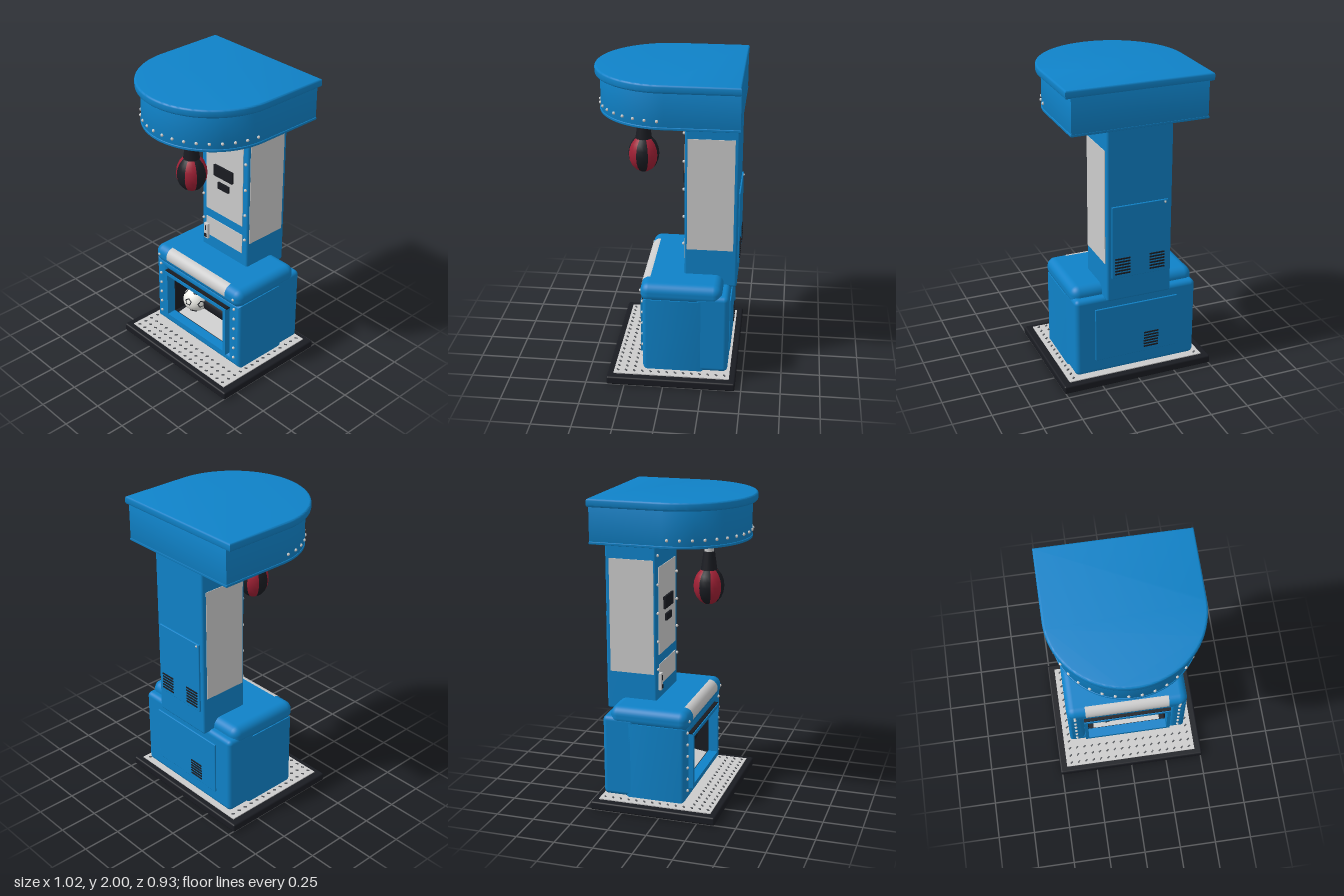
import * as THREE from 'three';
import { mergeGeometries, toCreasedNormals } from 'three/addons/utils/BufferGeometryUtils.js';
import { RoundedBoxGeometry } from 'three/addons/geometries/RoundedBoxGeometry.js';

const mat = (color, extra = {}) => new THREE.MeshStandardMaterial({ color, ...extra });

export function createModel() {
  const model = new THREE.Group();
  const blue = mat(0x0f82c8), black = mat(0x1a1c22), grey = mat(0xcccccc);
  const greyOpen = mat(0xcccccc, { side: THREE.DoubleSide });
  const red = mat(0xa02035), white = mat(0xf0f0ea), dark = mat(0x55585c);

  const add = (name, geometry, material, x = 0, y = 0, z = 0, parent = model) => {
    const mesh = new THREE.Mesh(geometry, material);
    mesh.name = name;
    mesh.position.set(x, y, z);
    parent.add(mesh);
    return mesh;
  };
  // Boxes given by their extents on each axis
  const box = (name, m, x0, x1, y0, y1, z0, z1, r = 0) => add(name,
    r ? new RoundedBoxGeometry(x1 - x0, y1 - y0, z1 - z0, 4, r) : new THREE.BoxGeometry(x1 - x0, y1 - y0, z1 - z0),
    m, (x0 + x1) / 2, (y0 + y1) / 2, (z0 + z1) / 2);
  // Many copies of one small geometry in a single mesh
  const scatter = (name, geometry, points, m) =>
    add(name, mergeGeometries(points.map(p => geometry.clone().translate(...p))), m);
  const rect = (x0, x1, y0, y1) => [[x0, y0], [x1, y0], [x1, y1], [x0, y1]].map(p => new THREE.Vector2(...p));
  // Rectangular ring extruded along z
  const frame = (name, m, outer, inner, z0, z1, bevel = 0) => {
    const shape = new THREE.Shape(rect(...outer));
    shape.holes.push(new THREE.Path(rect(...inner).reverse()));
    const g = new THREE.ExtrudeGeometry(shape, {
      depth: z1 - z0 - 2 * bevel, bevelEnabled: bevel > 0, bevelSize: bevel, bevelThickness: bevel,
      bevelOffset: -bevel, bevelSegments: 5 });
    return add(name, toCreasedNormals(g, 0.6), m, 0, 0, z0 + bevel);
  };

  // Floor mat and tread plate
  box('floorMat', black, -0.51, 0.51, 0, 0.055, -0.46, 0.365, 0.012);
  box('treadPlate', grey, -0.46, 0.46, 0.05, 0.061, -0.42, 0.325);
  const studs = [];
  for (let i = -8; i <= 8; i++) for (let j = 0; j < 14; j++) {
    const x = i * 0.053, z = 0.3 - j * 0.053;
    if (Math.abs(x) > 0.41 || z > 0.15) studs.push([x, 0.063, z]);
  }
  scatter('treadStuds', new THREE.BoxGeometry(0.02, 0.006, 0.009).rotateY(0.7), studs, dark);

  // Lower cabinet: hollow front, solid rear, cushion on top
  frame('cabinetFront', blue, [-0.41, 0.41, 0.075, 0.575], [-0.3, 0.3, 0.14, 0.51], -0.26, 0.142, 0.03);
  box('cabinetRear', blue, -0.41, 0.41, 0.075, 0.612, -0.405, -0.19, 0.03);
  box('cushion', blue, -0.412, 0.412, 0.55, 0.677, -0.36, 0.157, 0.055);
  const label = new THREE.CylinderGeometry(0.058, 0.058, 0.57, 12, 1, true, -0.5, 0.5 + Math.PI / 2);
  add('cushionLabel', label.rotateZ(Math.PI / 2), greyOpen, 0, 0.621, 0.102);
  frame('windowTrim', blue, [-0.3, 0.3, 0.14, 0.51], [-0.276, 0.276, 0.165, 0.487], 0.1, 0.165);
  frame('windowLining', black, [-0.3, 0.3, 0.14, 0.51], [-0.27, 0.27, 0.168, 0.482], -0.19, 0.1);
  box('windowTopStrip', black, -0.3, 0.3, 0.505, 0.517, 0.12, 0.158);
  box('windowBack', black, -0.28, 0.28, 0.15, 0.5, -0.2, -0.185);

  // Ball resting on a ramp in front of a roller
  const ramp = box('ballRamp', grey, -0.235, 0.235, 0.18, 0.19, -0.15, 0.1);
  ramp.rotation.x = 0.15;
  const roller = new THREE.CylinderGeometry(0.065, 0.065, 0.37, 24).rotateZ(Math.PI / 2);
  add('roller', roller, black, 0.085, 0.285, -0.04);
  const ball = new THREE.Group();
  ball.name = 'ball';
  ball.position.set(-0.145, 0.295, 0.02);
  ball.rotation.set(0.35, 0.3, 0.2);
  model.add(ball);
  add('ballSkin', new THREE.SphereGeometry(0.087, 28, 20), white, 0, 0, 0, ball);
  const g = (1 + Math.sqrt(5)) / 2;
  for (const a of [-1, 1]) for (const b of [-g, g])
    for (const p of [[0, a, b], [a, b, 0], [b, 0, a]]) {
      const dir = new THREE.Vector3(...p).normalize();
      const patch = add('ballPatch', new THREE.TorusGeometry(0.024, 0.004, 5, 5), black, 0, 0, 0, ball);
      patch.position.copy(dir).multiplyScalar(0.084);
      patch.quaternion.setFromUnitVectors(new THREE.Vector3(0, 0, 1), dir);
    }

  // Column with panels, displays and coin slot
  box('column', blue, -0.215, 0.215, 0.595, 1.74, -0.442, -0.105, 0.015);
  box('upperFrontPanel', grey, -0.17, 0.17, 0.97, 1.54, -0.11, -0.101);
  box('lowerFrontPanel', grey, -0.17, 0.17, 0.765, 0.905, -0.11, -0.101);
  box('display', black, -0.085, 0.085, 1.25, 1.33, -0.104, -0.087);
  box('smallDisplay', black, -0.05, 0.05, 1.167, 1.212, -0.104, -0.087);
  for (const s of [-1, 1])
    box('sidePanel', grey, s * 0.2155 - 0.003, s * 0.2155 + 0.003, 0.85, 1.59, -0.415, -0.122);
  box('coinSlotPlate', grey, -0.18, -0.143, 0.735, 0.85, -0.105, -0.085, 0.004);
  box('coinSlot', black, -0.165, -0.157, 0.8, 0.835, -0.09, -0.082);
  box('coinReturn', black, -0.172, -0.151, 0.748, 0.772, -0.09, -0.08);

  // Rear doors with vents and hinge-side locks
  box('columnDoor', blue, -0.185, 0.185, 0.755, 1.235, -0.452, -0.435, 0.004);
  box('cabinetDoor', blue, -0.28, 0.28, 0.17, 0.535, -0.414, -0.395, 0.004);
  const vents = [];
  for (let i = 0; i < 6; i++) {
    for (const x of [-0.115, 0.115]) vents.push([x, 0.785 + i * 0.02, -0.453]);
    vents.push([-0.1, 0.205 + i * 0.02, -0.415]);
  }
  scatter('vents', new THREE.BoxGeometry(0.1, 0.009, 0.008), vents, black);
  scatter('doorLock', new THREE.SphereGeometry(0.008, 8, 6), [[-0.165, 1.22, -0.452]], grey);

  // D-shaped head with lip and bottom trim
  const head = (name, r, back, y0, y1, bevel) => {
    const s = new THREE.Shape();
    s.moveTo(-r, back);
    s.lineTo(-r, 0);
    s.absarc(0, 0, r, Math.PI, 2 * Math.PI, false);
    s.lineTo(r, back);
    s.closePath();
    const geo = new THREE.ExtrudeGeometry(s, {
      depth: y1 - y0 - 2 * bevel, curveSegments: 40, bevelEnabled: true,
      bevelSize: bevel, bevelThickness: bevel, bevelOffset: -bevel, bevelSegments: 3 });
    add(name, toCreasedNormals(geo.rotateX(-Math.PI / 2), 0.6), blue, 0, y0 + bevel, 0);
  };
  head('headBody', 0.437, 0.453, 1.722, 1.96, 0.004);
  head('headTrim', 0.441, 0.454, 1.718, 1.735, 0.004);
  head('headLip', 0.47, 0.455, 1.948, 2, 0.012);

  // Rivets on head, column and cabinet
  const rivets = [];
  for (let i = 0; i < 18; i++) {
    const a = (i + 0.5) * Math.PI / 18;
    rivets.push([0.439 * Math.cos(a), 1.77, 0.439 * Math.sin(a)]);
  }
  for (const s of [-1, 1]) {
    for (let i = 0; i < 5; i++) rivets.push([s * 0.195, 0.88 + i * 0.185, -0.1]);
    for (let i = 0; i < 6; i++) rivets.push([s * 0.36, 0.148 + i * 0.078, 0.145]);
    rivets.push([s * 0.36, 0.617, 0.156]);
  }
  scatter('rivets', new THREE.SphereGeometry(0.01, 10, 8), rivets, grey);

  // Punching bag: rod, collar and alternating gores
  const bag = new THREE.Group();
  bag.name = 'punchingBag';
  bag.position.z = 0.175;
  model.add(bag);
  add('bagRod', new THREE.CylinderGeometry(0.026, 0.031, 0.13, 16), grey, 0, 1.67, 0, bag);
  add('bagCollar', new THREE.CylinderGeometry(0.036, 0.057, 0.15, 16), black, 0, 1.552, 0, bag);
  for (let i = 0; i < 8; i++) {
    const gore = new THREE.SphereGeometry(0.098, 2, 10, (i - 0.5) * Math.PI / 4, Math.PI / 4);
    add('bagGore', gore.scale(1, 1.25, 1), i % 2 ? red : black, 0, 1.407, 0, bag);
  }
  return model;
}
